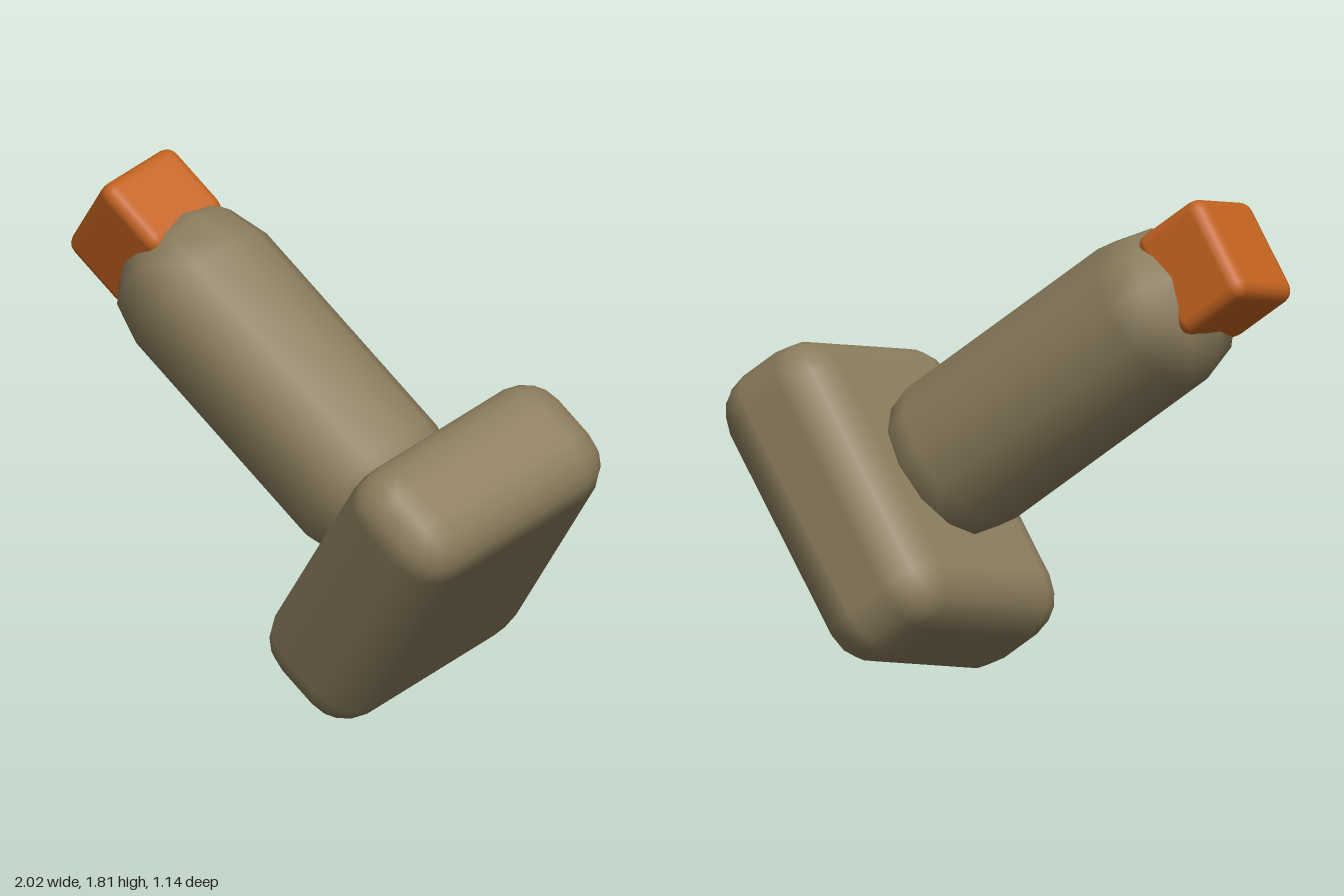
import * as THREE from 'three';
import { RoundedBoxGeometry } from 'three/addons/geometries/RoundedBoxGeometry.js';

export function createModel() {
  const model = new THREE.Group();
  model.name = 'tiltedHammer';

  const brown = new THREE.MeshStandardMaterial({ color: 0x8b7c5d });
  brown.name = 'brown';
  const orange = new THREE.MeshStandardMaterial({ color: 0xc2621f });
  orange.name = 'orange';

  // Everything is stacked along one local y axis, then tilted as a whole
  const body = new THREE.Group();
  body.name = 'body';
  const along = new THREE.Vector3(0.593, 0.784, 0.184).normalize();
  const across = new THREE.Vector3(-0.069, -0.177, 0.982);
  const axis = new THREE.Vector3().crossVectors(across, along).normalize();
  across.crossVectors(along, axis);
  body.quaternion.setFromRotationMatrix(new THREE.Matrix4().makeBasis(along, axis, across));
  body.position.set(0.495, 0.61, 0);
  model.add(body);

  const add = (name, geometry, material, y) => {
    const mesh = new THREE.Mesh(geometry, material);
    mesh.name = name;
    mesh.position.y = y;
    body.add(mesh);
  };

  // Thick soft-edged slab at the low end
  add('slab', new RoundedBoxGeometry(1.18, 0.5, 1.0, 2, 0.17), brown, 0);
  // Round shaft with domed ends
  add('shaft', new THREE.CapsuleGeometry(0.305, 0.935, 3, 12), brown, 0.8175);
  // Small block sunk into the far end of the shaft
  add('tipBlock', new RoundedBoxGeometry(0.41, 0.32, 0.37, 2, 0.05), orange, 1.59);

  return model;
}
